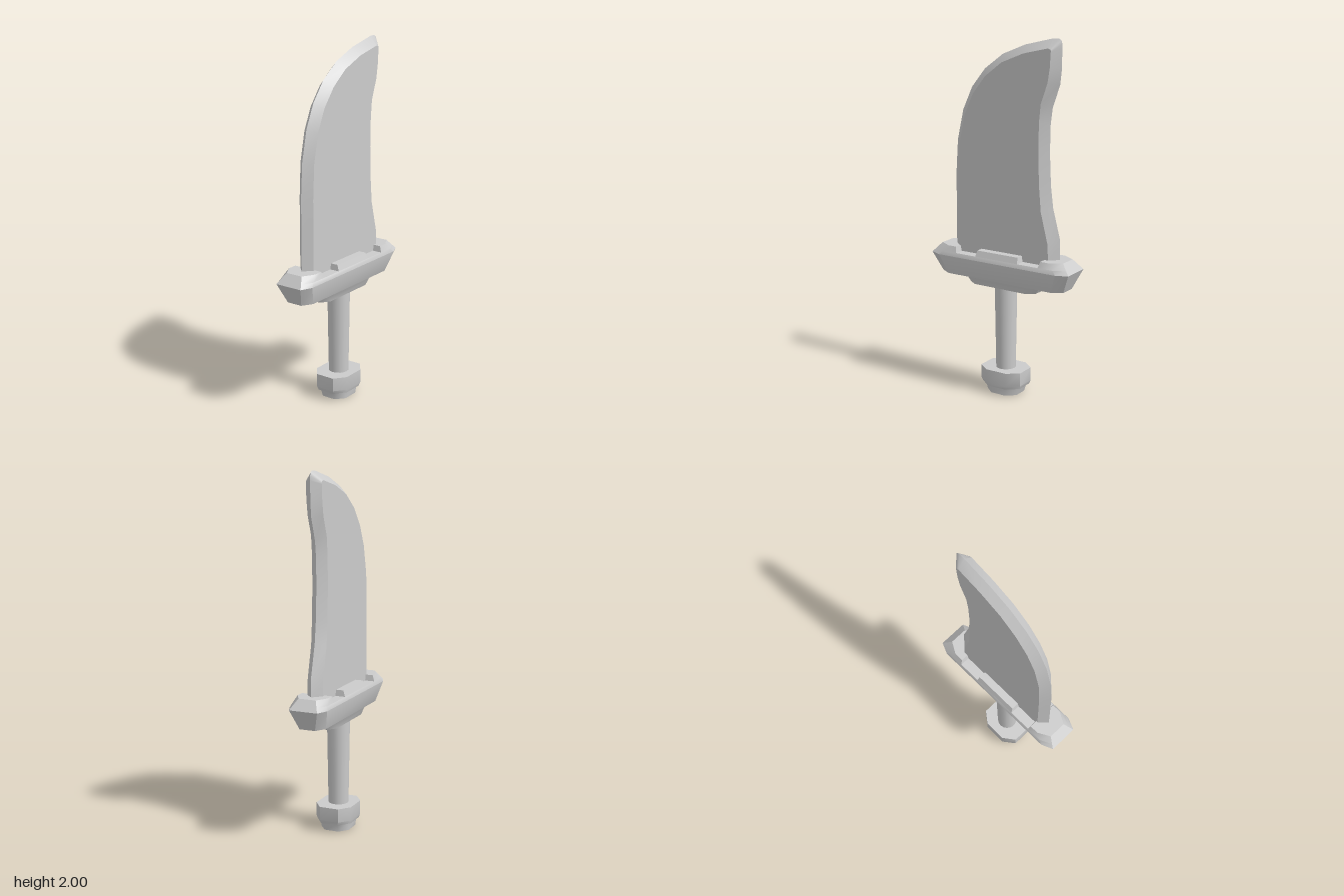
import * as THREE from 'three';
import { toCreasedNormals } from 'three/addons/utils/BufferGeometryUtils.js';

const material = new THREE.MeshStandardMaterial({ color: 0xcccccc });

// Skins a stack of equal-length rings (counter-clockwise from above, bottom to top) and caps both ends.
function loft(name, rings, crease = 0.6) {
  const n = rings[0].length;
  const pos = [];
  const tri = (...points) => points.forEach((p) => pos.push(...p));
  for (let i = 0; i < rings.length - 1; i++) {
    for (let j = 0; j < n; j++) {
      const k = (j + 1) % n;
      const [a, b, c, d] = [rings[i][j], rings[i][k], rings[i + 1][k], rings[i + 1][j]];
      tri(a, b, c);
      tri(a, c, d);
    }
  }
  const bottom = rings[0];
  const top = rings[rings.length - 1];
  for (let j = 1; j < n - 1; j++) {
    tri(bottom[0], bottom[j + 1], bottom[j]);
    tri(top[0], top[j], top[j + 1]);
  }
  const geometry = new THREE.BufferGeometry();
  geometry.setAttribute('position', new THREE.Float32BufferAttribute(pos, 3));
  geometry.computeVertexNormals();
  const mesh = new THREE.Mesh(toCreasedNormals(geometry, crease), material);
  mesh.name = name;
  return mesh;
}

// Rectangle with chamfered corners: half sizes a, b and chamfers cx, cz.
const octagon = (y, a, b, cx, cz) => [
  [cx - a, y, b], [a - cx, y, b], [a, y, b - cz], [a, y, cz - b],
  [a - cx, y, -b], [cx - a, y, -b], [-a, y, cz - b], [-a, y, b - cz],
];

// One chamfered end of that outline, cut off at x0.
const endCap = (y, x0, a, b, cx, cz) => [
  [x0, y, b], [a - cx, y, b], [a, y, b - cz], [a, y, cz - b], [a - cx, y, -b], [x0, y, -b],
];

const rectangle = (y, a, b) => [[-a, y, b], [a, y, b], [a, y, -b], [-a, y, -b]];

function createBlade() {
  // Each row: spine edge, spine bevel, cutting bevel, cutting edge, as x, y pairs.
  const rows = [
    [-0.33, 0.78, -0.285, 0.78, 0.3, 0.78, 0.345, 0.78],
    [-0.33, 1.0, -0.285, 1.0, 0.293, 0.91, 0.345, 0.93],
    [-0.33, 1.22, -0.285, 1.21, 0.25, 1.08, 0.3, 1.1],
    [-0.318, 1.41, -0.275, 1.4, 0.238, 1.22, 0.285, 1.22],
    [-0.28, 1.58, -0.24, 1.56, 0.232, 1.4, 0.277, 1.4],
    [-0.22, 1.71, -0.185, 1.68, 0.235, 1.56, 0.28, 1.55],
    [-0.135, 1.815, -0.105, 1.78, 0.245, 1.66, 0.292, 1.64],
    [-0.02, 1.9, 0.0, 1.86, 0.285, 1.77, 0.335, 1.76],
    [0.12, 1.957, 0.135, 1.915, 0.298, 1.85, 0.345, 1.85],
    [0.29, 1.998, 0.285, 1.95, 0.303, 1.93, 0.345, 1.95],
    [0.325, 2.0, 0.3, 1.945, 0.303, 1.94, 0.345, 1.975],
  ];
  const t = 0.045;
  const rings = rows.map(([lx, ly, px, py, qx, qy, rx, ry]) => [
    [lx, ly, 0], [px, py, t], [qx, qy, t], [rx, ry, 0], [qx, qy, -t], [px, py, -t],
  ]);
  // Close the rounded tip in a point
  rings.push(Array.from({ length: 6 }, () => [0.34, 1.99, 0]));
  return loft('blade', rings, 0.5);
}

function createGuard() {
  const guard = new THREE.Group();
  guard.name = 'guard';
  guard.add(loft('guardBody', [
    octagon(0.655, 0.395, 0.08, 0.06, 0.035),
    octagon(0.765, 0.445, 0.109, 0.065, 0.028),
    octagon(0.787, 0.425, 0.101, 0.065, 0.032),
  ], 0.75));
  // Upper rim in three pieces, leaving a notch on each side of the middle
  guard.add(loft('guardRimMiddle', [rectangle(0.787, 0.137, 0.101), rectangle(0.82, 0.131, 0.088)]));
  for (const side of [0, 1]) {
    const end = loft(side ? 'guardRimRight' : 'guardRimLeft', [
      endCap(0.787, 0.267, 0.425, 0.101, 0.065, 0.032),
      endCap(0.82, 0.275, 0.395, 0.088, 0.068, 0.038),
    ], 0.75);
    end.rotation.y = side * Math.PI;
    guard.add(end);
  }
  // Collar under the guard
  guard.add(loft('collar', [
    octagon(0.615, 0.215, 0.066, 0.05, 0.035),
    octagon(0.64, 0.232, 0.071, 0.05, 0.035),
    octagon(0.66, 0.242, 0.079, 0.05, 0.035),
  ], 0.75));
  return guard;
}

function createPommel() {
  const pommel = new THREE.Group();
  pommel.name = 'pommel';
  pommel.add(loft('pommelBody', [
    octagon(0.045, 0.122, 0.1, 0.065, 0.05),
    octagon(0.065, 0.13, 0.105, 0.065, 0.05),
    octagon(0.142, 0.13, 0.105, 0.065, 0.05),
  ], 0.9));
  pommel.add(loft('pommelFoot', [
    octagon(0, 0.096, 0.083, 0.05, 0.042),
    octagon(0.046, 0.11, 0.086, 0.055, 0.043),
  ], 0.9));
  return pommel;
}

export function createModel() {
  const model = new THREE.Group();
  model.name = 'curvedSword';

  // Slightly tapered round handle
  const grip = new THREE.Mesh(new THREE.CylinderGeometry(0.064, 0.056, 0.5, 16), material);
  grip.name = 'grip';
  grip.position.y = 0.38;

  model.add(createBlade(), createGuard(), grip, createPommel());
  return model;
}
